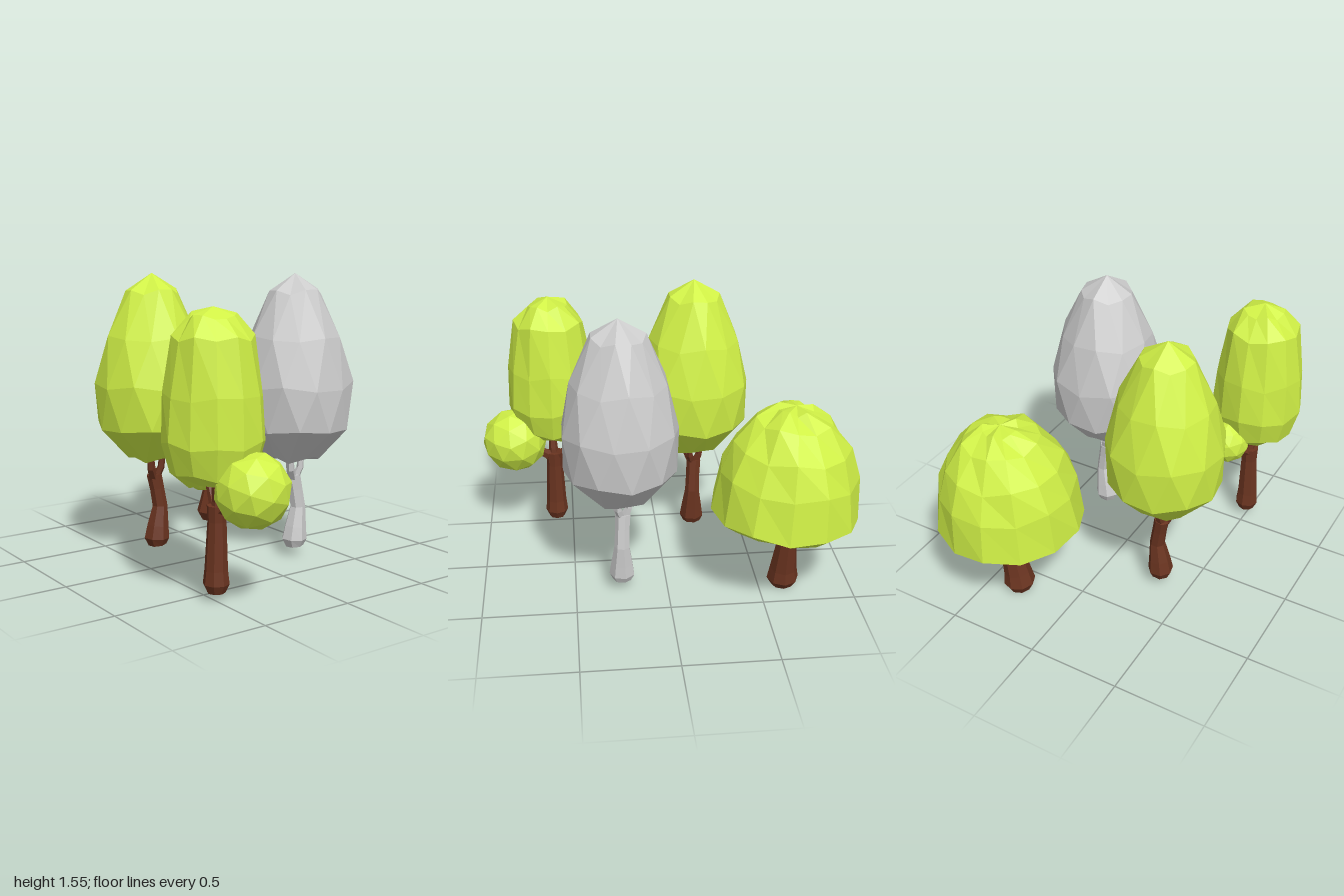
import * as THREE from 'three';

const leafMat = new THREE.MeshStandardMaterial({ color: 0xd0f046, flatShading: true });
const barkMat = new THREE.MeshStandardMaterial({ color: 0x6a3420, flatShading: true });
const greyMat = new THREE.MeshStandardMaterial({ color: 0xcccccc, flatShading: true });

// Skin rings [x, y, z, radius] set square to their path; stagger turns every other ring half a step
function loft(rings, sides, stagger = false, wobble = 0) {
  const pts = rings.map(r => new THREE.Vector3(r[0], r[1], r[2]));
  const pos = [], index = [];
  const up = new THREE.Vector3(0, 1, 0);
  const last = rings.length - 1;
  rings.forEach((ring, i) => {
    const dir = pts[Math.min(i + 1, last)].clone().sub(pts[Math.max(i - 1, 0)]).normalize();
    const turn = new THREE.Quaternion().setFromUnitVectors(up, dir);
    for (let j = 0; j < sides; j++) {
      const a = (j + (stagger && i % 2 ? 0.5 : 0)) / sides * Math.PI * 2;
      const k = Math.sin(j * 2.4 + i * 1.7) * wobble;
      const r = ring[3] * (1 + k * 0.5);
      const p = new THREE.Vector3(r * Math.sin(a), ring[3] > 0 ? k * 0.5 : 0, r * Math.cos(a));
      pos.push(...p.applyQuaternion(turn).add(pts[i]).toArray());
    }
  });
  for (let i = 0; i < last; i++) {
    for (let j = 0; j < sides; j++) {
      const n = (j + 1) % sides;
      const b = i * sides + j, b1 = i * sides + n;
      const t = b + sides, t1 = b1 + sides;
      const tris = stagger && i % 2 ? [[b, t1, t], [b, b1, t1]] : [[b, b1, t], [b1, t1, t]];
      // Collapsed end rings need only one triangle per side
      for (const tri of tris) {
        const lows = tri.filter(v => v < (i + 1) * sides).length;
        if (rings[i][3] === 0 && lows === 2) continue;
        if (rings[i + 1][3] === 0 && lows === 1) continue;
        index.push(...tri);
      }
    }
  }
  const g = new THREE.BufferGeometry();
  g.setAttribute('position', new THREE.Float32BufferAttribute(pos, 3));
  g.setIndex(index);
  const flat = g.toNonIndexed();
  flat.computeVertexNormals();
  return flat;
}

function add(parent, name, geometry, material) {
  const mesh = new THREE.Mesh(geometry, material);
  mesh.name = name;
  parent.add(mesh);
  return mesh;
}

// Trunk or branch with closed ends
function limb(parent, name, path, sides, material) {
  const a = path[0], b = path[path.length - 1];
  const rings = [[a[0], a[1], a[2], 0], ...path, [b[0], b[1], b[2], 0]];
  return add(parent, name, loft(rings, sides), material);
}

// Crown from [radius, y] pairs, bottom to top
function crown(parent, profile, sides, stagger, wobble) {
  const rings = profile.map(([r, y]) => [0, y, 0, r]);
  return add(parent, 'crown', loft(rings, sides, stagger, wobble), leafMat);
}

function ball(parent, name, r, x, y, z) {
  const g = new THREE.IcosahedronGeometry(r, 1);
  g.computeVertexNormals();
  const mesh = add(parent, name, g, leafMat);
  mesh.position.set(x, y, z);
  mesh.rotation.set(0.3, 0.5, 0.2);
}

function eggTree(name, x, z, leaf, bark) {
  const tree = new THREE.Group();
  tree.name = name;
  tree.position.set(x, 0, z);
  crown(tree, [[0, 0.545], [0.14, 0.565], [0.30, 0.74], [0.313, 0.97],
    [0.25, 1.22], [0.14, 1.46], [0, 1.555]], 11, true, 0.03).material = leaf;
  limb(tree, 'trunk', [[0.015, 0.06, 0, 0.05], [0.012, 0.1, 0, 0.07], [0.02, 0.17, 0, 0.06],
    [0.035, 0.28, 0, 0.042], [0.02, 0.38, -0.005, 0.04], [0.005, 0.46, -0.01, 0.042]], 7, bark);
  for (const [bx, bz] of [[-0.05, 0.04], [0.045, 0.02], [0.01, -0.05]]) {
    limb(tree, 'branch', [[0.005, 0.42, -0.01, 0.026], [bx * 0.8, 0.5, bz * 0.8, 0.02],
      [bx, 0.62, bz, 0.016]], 5, bark);
  }
  return tree;
}

function tallTree() {
  const tree = new THREE.Group();
  tree.name = 'tallTree';
  tree.position.set(-0.505, 0, 0.595);
  crown(tree, [[0, 0.59], [0.14, 0.6], [0.21, 0.655], [0.25, 0.8], [0.238, 1.02],
    [0.195, 1.29], [0.11, 1.39], [0, 1.43]], 12, false, 0.03);
  limb(tree, 'trunk', [[0.015, 0.045, 0, 0.045], [0.015, 0.09, 0, 0.066], [0.015, 0.16, 0, 0.058],
    [0.02, 0.4, 0, 0.047], [0.02, 0.48, 0, 0.05]], 8, barkMat);
  // Forks toward the two leaf balls and the main crown
  for (const [bx, by, bz] of [[0.05, 0.58, 0.19], [0.07, 0.61, -0.16], [0, 0.64, 0.01]]) {
    limb(tree, 'branch', [[0.02, 0.44, 0, 0.034], [0.02 + bx * 0.4, 0.5, bz * 0.45, 0.026],
      [bx, by, bz, 0.018]], 6, barkMat);
  }
  ball(tree, 'frontLeafBall', 0.186, 0.067, 0.59, 0.223);
  ball(tree, 'backLeafBall', 0.128, 0.085, 0.63, -0.195);
  return tree;
}

function domeTree() {
  const tree = new THREE.Group();
  tree.name = 'domeTree';
  tree.position.set(0.36, 0, -0.615);
  const top = crown(tree, [[0, -0.03], [0.32, -0.025], [0.395, 0.025], [0.365, 0.25], [0.305, 0.41],
    [0.2, 0.545], [0.09, 0.605], [0, 0.62]], 13, false, 0.03);
  top.position.y = 0.475;
  top.rotation.x = -0.06;
  limb(tree, 'trunk', [[-0.035, 0.005, -0.02, 0.06], [-0.035, 0.05, -0.02, 0.087],
    [-0.025, 0.12, -0.02, 0.075], [0.01, 0.31, -0.025, 0.054], [0.015, 0.37, -0.025, 0.052]], 8, barkMat);
  // Elbowed branches that turn up into the crown
  for (const [bx, bz] of [[-0.14, 0.04], [0.165, 0], [-0.015, 0.055], [0.03, -0.11]]) {
    limb(tree, 'branch', [[0.012, 0.32, -0.025, 0.036], [bx * 0.92, 0.395, bz, 0.022],
      [bx, 0.42, bz, 0.02], [bx, 0.5, bz, 0.017]], 6, barkMat);
  }
  return tree;
}

export function createModel() {
  const model = new THREE.Group();
  model.name = 'treeCluster';
  model.add(
    eggTree('greyTree', 0.265, 0.245, greyMat, greyMat),
    eggTree('greenTree', -0.345, -0.21, leafMat, barkMat),
    tallTree(),
    domeTree(),
  );
  return model;
}
